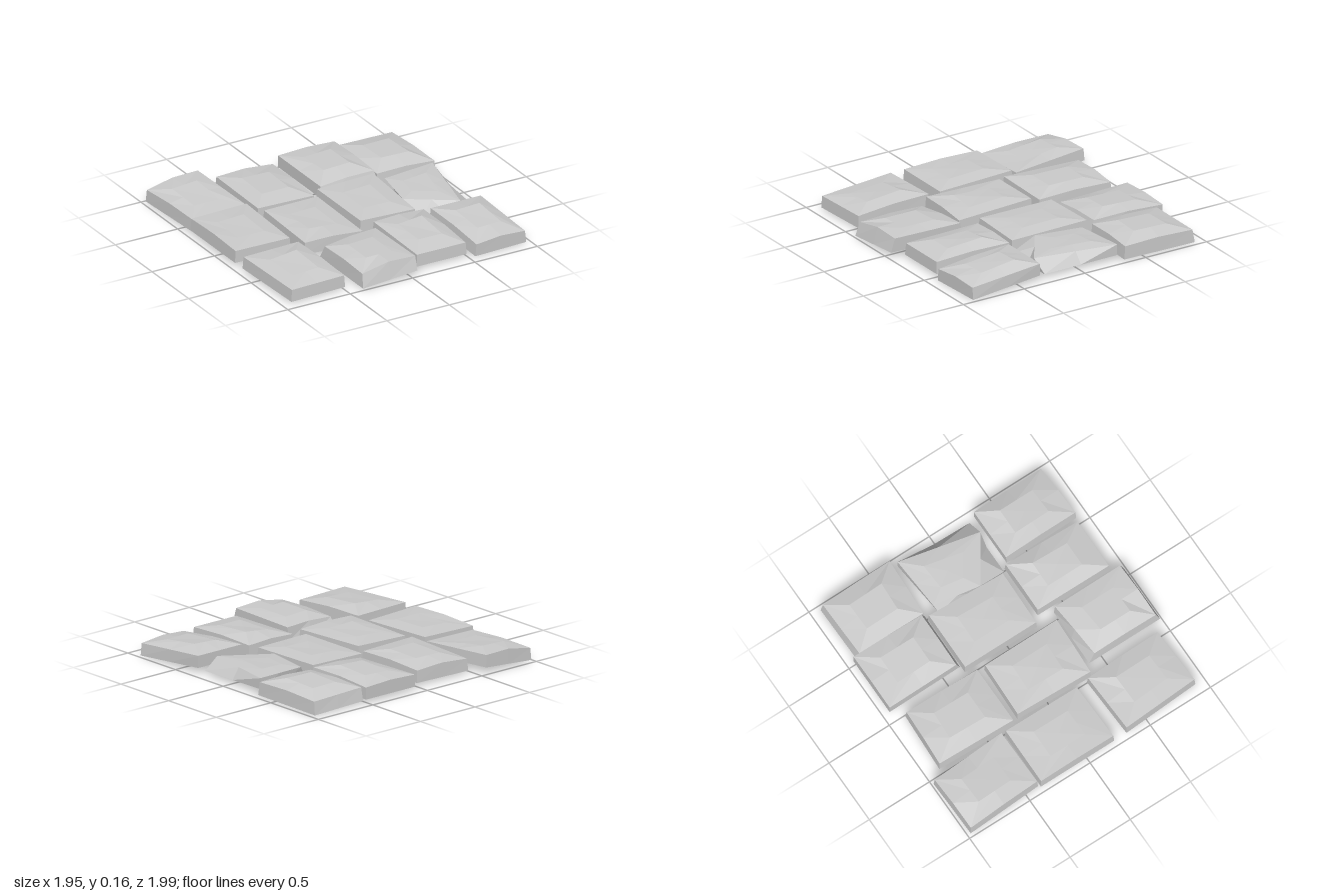
import * as THREE from 'three';

// Corners are [x, z, top height], in the order back left, back right, front right, front left.
// inner: heights of the raised middle, same order.
// lift: how far the middle of the back, right, front and left edge bows upward.
// lean: [x, z] offset of each bottom corner from its top corner.
const STRAIGHT = [[-0.006, -0.005], [0.006, -0.005], [0.006, 0.004], [-0.006, 0.004]];

const backRow = [
  { corners: [[-0.97, -0.97, 0.11], [-0.55, -0.99, 0.15], [-0.51, -0.41, 0.12], [-0.94, -0.4, 0.11]],
    inner: [0.15, 0.16, 0.13, 0.13], lift: [0.02, 0, 0, 0.01] },
  { corners: [[-0.46, -0.89, 0.12], [-0.02, -0.87, 0.12], [-0.03, -0.29, 0.12], [-0.48, -0.29, 0.13]],
    inner: [0.15, 0.15, 0.15, 0.15], lift: [0.015, 0.01, 0, 0] },
  { corners: [[0.07, -0.95, 0.13], [0.52, -0.95, 0.13], [0.51, -0.39, 0.14], [0.08, -0.39, 0.12]],
    inner: [0.15, 0.16, 0.17, 0.16], lift: [0.01, 0.01, 0.01, 0],
    lean: [[0, 0], [0, 0], [0.01, 0.03], [0, 0.03]] },
  { corners: [[0.52, -0.9, 0.12], [0.96, -0.91, 0.11], [0.97, -0.35, 0.12], [0.52, -0.37, 0.12]],
    inner: [0.15, 0.15, 0.16, 0.16], lift: [0, 0.01, 0.01, 0.01],
    lean: [[0, -0.02], [0.006, -0.015], [0.005, 0.01], [0, 0.01]], thickness: 0.095 },
];
const middleRow = [
  { corners: [[-0.96, -0.38, 0.13], [-0.52, -0.38, 0.14], [-0.52, 0.21, 0.12], [-0.96, 0.22, 0.13]],
    inner: [0.14, 0.15, 0.14, 0.14], lift: [0, 0, 0, 0.01] },
  { corners: [[-0.46, -0.24, 0.13], [-0.04, -0.23, 0.14], [-0.03, 0.37, 0.12], [-0.48, 0.35, 0.13]],
    inner: [0.14, 0.15, 0.14, 0.15], lift: [0, 0, 0.01, 0] },
  { corners: [[0.03, -0.35, 0.13], [0.48, -0.35, 0.14], [0.46, 0.25, 0.12], [0.03, 0.24, 0.13]],
    inner: [0.14, 0.15, 0.14, 0.14], lift: [0, 0, 0, 0] },
  { corners: [[0.53, -0.28, 0.12], [0.93, -0.31, 0.13], [0.8, 0.29, 0.12], [0.47, 0.07, 0.12]],
    inner: [0.13, 0.14, 0.13, 0.13], lift: [0, 0, 0, 0],
    lean: [[-0.05, 0.02], [0, 0], [0.12, -0.01], [0.02, 0.21]], thickness: 0.08 },
];
const frontRow = [
  { corners: [[-0.96, 0.33, 0.13], [-0.51, 0.31, 0.13], [-0.49, 0.9, 0.11], [-0.92, 0.92, 0.11]],
    inner: [0.14, 0.16, 0.14, 0.13], lift: [0, 0.01, 0, 0] },
  { corners: [[-0.38, 0.45, 0.12], [0.05, 0.41, 0.14], [0.05, 0.95, 0.15], [-0.38, 0.96, 0.12]],
    inner: [0.16, 0.16, 0.16, 0.16], lift: [0.01, 0, 0.025, 0.01],
    lean: [[-0.01, -0.05], [0, -0.01], [0, 0.03], [-0.01, 0.03]], thickness: 0.1 },
  { corners: [[0.1, 0.3, 0.13], [0.5, 0.3, 0.13], [0.49, 0.89, 0.12], [0.1, 0.89, 0.12]],
    inner: [0.15, 0.17, 0.15, 0.15], lift: [0.01, 0.01, 0, 0] },
  { corners: [[0.54, 0.33, 0.14], [0.94, 0.33, 0.14], [0.96, 0.9, 0.1], [0.56, 0.92, 0.1]],
    inner: [0.16, 0.17, 0.14, 0.14], lift: [0, 0, 0.015, 0.01],
    lean: [[-0.01, 0], [0, 0], [0.01, 0], [-0.01, 0]] },
];

// Adds a point halfway along every side, so four corners become a ring of eight.
function ringOfEight(corners, lift) {
  return corners.flatMap((a, i) => {
    const b = corners[(i + 1) % 4];
    return [a, [(a[0] + b[0]) / 2, (a[1] + b[1]) / 2 + lift[i], (a[2] + b[2]) / 2]];
  });
}

// A slab is an open-bottomed shell: wall skirt, faceted shoulder and raised middle.
function slabGeometry({ corners, inner, lift, lean = STRAIGHT, thickness = 0.088 }) {
  const cx = corners.reduce((s, c) => s + c[0], 0) / 4;
  const cz = corners.reduce((s, c) => s + c[1], 0) / 4;
  const bottom = corners.map(([x, z, y], i) => [x + lean[i][0], Math.max(0.01, y - thickness), z + lean[i][1]]);
  const rim = corners.map(([x, z, y]) => [x, y, z]);
  const middle = corners.map(([x, z], i) => [cx + (x - cx) * 0.48, inner[i], cz + (z - cz) * 0.48]);
  const flat = [0, 0, 0, 0];
  const rings = [ringOfEight(bottom, flat), ringOfEight(rim, lift), ringOfEight(middle, flat)];

  const index = [];
  for (const ring of [0, 8]) {
    for (let i = 0; i < 8; i++) {
      const a = ring + i, b = ring + ((i + 1) % 8);
      index.push(a, a + 8, b, b, a + 8, b + 8);
    }
  }
  for (let i = 0; i < 8; i++) index.push(16 + i, 24, 16 + ((i + 1) % 8));
  const centre = [cx, inner.reduce((s, h) => s + h, 0) / 4, cz];

  const geometry = new THREE.BufferGeometry();
  geometry.setAttribute('position', new THREE.Float32BufferAttribute([...rings.flat(), centre].flat(), 3));
  geometry.setIndex(index);
  const faceted = geometry.toNonIndexed();
  faceted.computeVertexNormals();
  return faceted;
}

export function createModel() {
  const model = new THREE.Group();
  model.name = 'stonePaving';
  const stone = new THREE.MeshStandardMaterial({
    color: 0xcccccc, flatShading: true, side: THREE.DoubleSide,
  });

  // Three rows of four slabs, from back to front
  const rows = { backRow, middleRow, frontRow };
  for (const [name, slabs] of Object.entries(rows)) {
    const row = new THREE.Group();
    row.name = name;
    slabs.forEach((slab, i) => {
      const mesh = new THREE.Mesh(slabGeometry(slab), stone);
      mesh.name = `slab${i + 1}`;
      row.add(mesh);
    });
    model.add(row);
  }
  return model;
}
